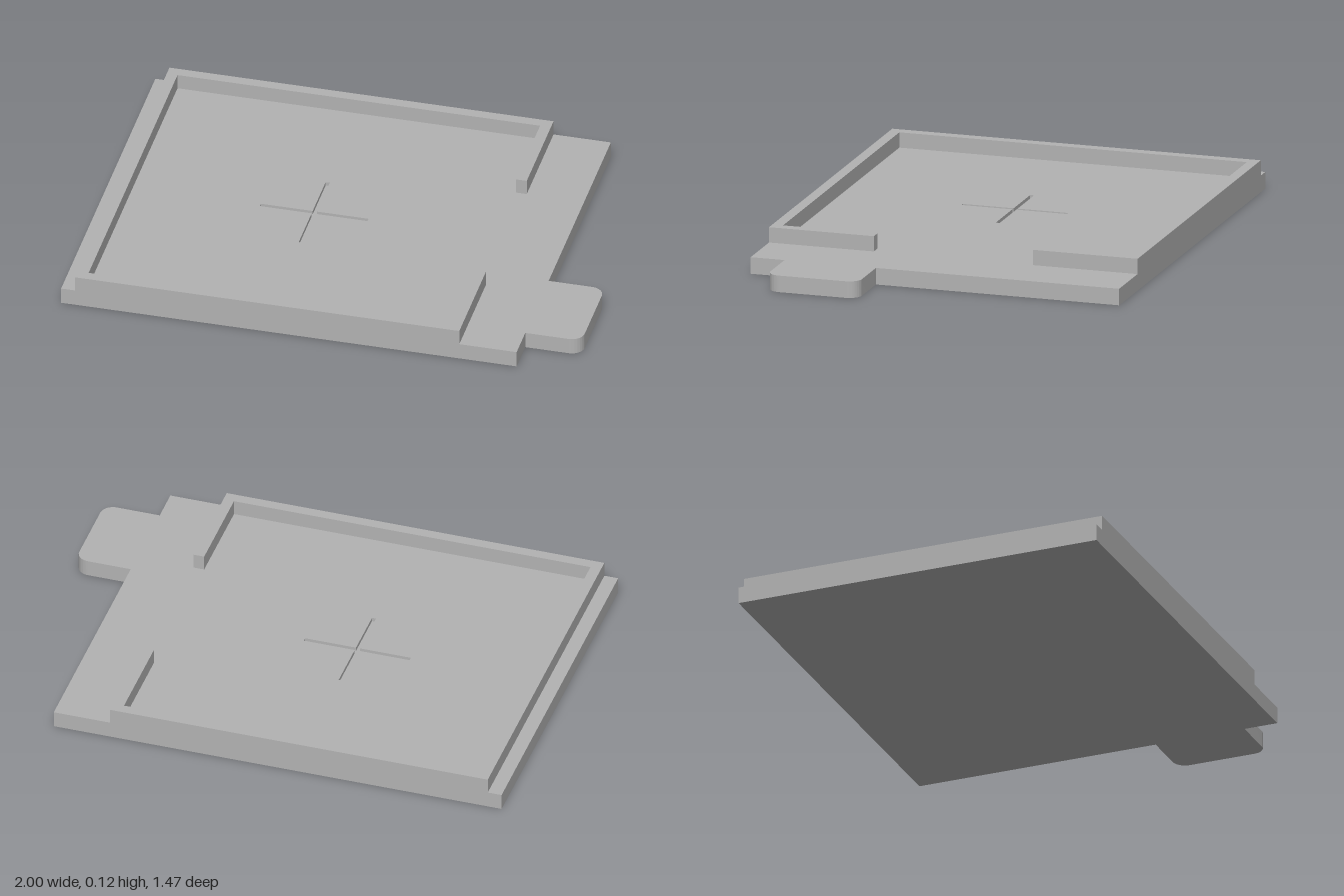
import * as THREE from 'three';
import { toCreasedNormals } from 'three/addons/utils/BufferGeometryUtils.js';

const BASE = 0.065, TOP = 0.125, HALF = 0.735;

export function createModel() {
  const group = new THREE.Group();
  const gray = new THREE.MeshStandardMaterial({ color: 0xb2b2b2 });

  // Extrudes a plan drawn in (x, -z) upward from y0 to y1
  const addPlan = (name, shape, y0, y1) => {
    let geo = new THREE.ExtrudeGeometry(shape, { depth: y1 - y0, bevelEnabled: false, curveSegments: 10 });
    geo.rotateX(-Math.PI / 2).translate(0, y0, 0);
    geo = toCreasedNormals(geo, 0.6);
    const mesh = new THREE.Mesh(geo, gray);
    mesh.name = name;
    group.add(mesh);
  };
  const points = (list) => list.map(([x, z]) => new THREE.Vector2(x, -z));

  // Base plate with a rounded tab on its right edge
  const edge = 0.78, z0 = 0.235, z1 = 0.6, r = 0.05;
  const plate = new THREE.Shape();
  plate.moveTo(-1, -HALF);
  plate.lineTo(edge, -HALF);
  plate.lineTo(edge, -z1);
  plate.lineTo(1 - r, -z1);
  plate.absarc(1 - r, -z1 + r, r, -Math.PI / 2, 0, false);
  plate.lineTo(1, -z0 - r);
  plate.absarc(1 - r, -z0 - r, r, 0, Math.PI / 2, false);
  plate.lineTo(edge, -z0);
  plate.lineTo(edge, HALF);
  plate.lineTo(-1, HALF);
  plate.closePath();

  // Shallow cross groove at the middle of the tray
  const cx = -0.195, a = 0.21, w = 0.008;
  const cross = points([
    [cx - a, -w], [cx - w, -w], [cx - w, -a], [cx + w, -a], [cx + w, -w], [cx + a, -w],
    [cx + a, w], [cx + w, w], [cx + w, a], [cx - w, a], [cx - w, w], [cx - a, w],
  ]);
  plate.holes.push(new THREE.Path(cross));
  addPlan('basePlate', plate, 0, BASE);
  addPlan('grooveFloor', new THREE.Shape(cross), 0, BASE - 0.015);

  // Rim wall, open in the middle of its right side
  const t = 0.042, left = -0.945, right = 0.556, gap = 0.317;
  addPlan('rimWall', new THREE.Shape(points([
    [left, HALF], [right, HALF], [right, gap], [right - t, gap],
    [right - t, HALF - t], [left + t, HALF - t],
    [left + t, -HALF + t], [right - t, -HALF + t],
    [right - t, -gap], [right, -gap], [right, -HALF], [left, -HALF],
  ])), BASE, TOP);

  return group;
}
